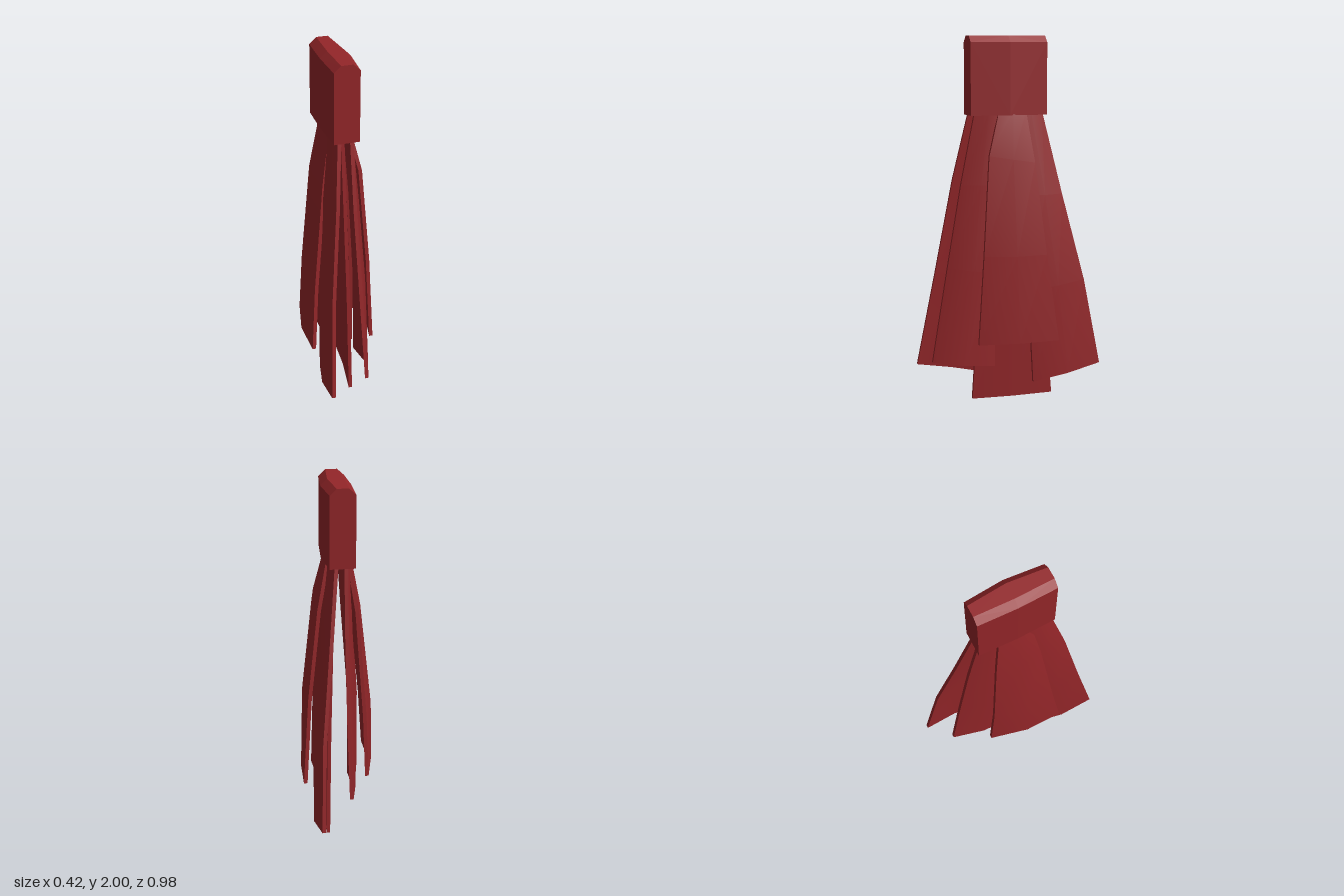
import * as THREE from 'three';
import { mergeGeometries } from 'three/addons/utils/BufferGeometryUtils.js';
import { ConvexGeometry } from 'three/addons/geometries/ConvexGeometry.js';

// Smooth sheet through a grid of points (rows of Vector3)
function sheet(rows) {
  const n = rows[0].length, index = [];
  for (let r = 0; r < rows.length - 1; r++) {
    for (let c = 0; c < n - 1; c++) {
      const a = r * n + c, b = a + n;
      index.push(a, b, a + 1, a + 1, b, b + 1);
    }
  }
  const g = new THREE.BufferGeometry().setFromPoints(rows.flat());
  g.setIndex(index);
  g.computeVertexNormals();
  return g;
}

// Bowed cloth panel. Each row: back edge [x, y, z], front edge [x, y, z], bow along x
function panel(rows, thickness = 0.02) {
  const side = (s) => rows.map(([b, f, bow]) => {
    const back = new THREE.Vector3(...b), front = new THREE.Vector3(...f);
    const mid = back.clone().lerp(front, 0.5);
    mid.x += bow;
    return [back, mid, front].map((p) => p.setX(p.x + s * thickness / 2));
  });
  const lo = side(-1), hi = side(1), end = rows.length - 1;
  return mergeGeometries([
    sheet(lo),
    sheet(hi.map((r) => [...r].reverse())),
    sheet(lo.map((r, i) => [hi[i][0], r[0]])),
    sheet(lo.map((r, i) => [r[2], hi[i][2]])),
    sheet([lo[end], hi[end]]),
    sheet([hi[0], lo[0]]),
  ]);
}

const PANELS = {
  leftPanel: [
    [[0.05, 1.6, -0.08], [0.045, 1.6, 0.07], 0.015],
    [[0.105, 1.32, -0.115], [0.095, 1.36, 0.14], 0.02],
    [[0.165, 0.82, -0.165], [0.13, 0.82, 0.18], 0.03],
    [[0.2, 0.345, -0.225], [0.145, 0.335, 0.215], 0.018],
  ],
  rightPanel: [
    [[-0.055, 1.6, -0.08], [-0.055, 1.6, 0.1], -0.015],
    [[-0.1, 1.3, -0.12], [-0.105, 1.3, 0.14], -0.025],
    [[-0.14, 0.7, -0.16], [-0.17, 0.7, 0.2], -0.04],
    [[-0.15, 0.345, -0.19], [-0.2, 0.34, 0.245], -0.027],
  ],
  backLeftPanel: [
    [[0.02, 1.6, -0.18], [0.04, 1.6, -0.04], 0.012],
    [[0.065, 1.14, -0.285], [0.095, 1.14, -0.06], 0.025],
    [[0.115, 0.66, -0.4], [0.12, 0.62, -0.075], 0.03],
    [[0.133, 0.18, -0.49], [0.13, 0.1, -0.1], 0.022],
  ],
  frontRightPanel: [
    [[-0.06, 1.6, 0.04], [-0.045, 1.6, 0.215], -0.012],
    [[-0.09, 1.22, 0.06], [-0.08, 1.22, 0.3], -0.025],
    [[-0.11, 0.65, 0.075], [-0.13, 0.7, 0.39], -0.03],
    [[-0.115, 0.105, 0.1], [-0.163, 0.17, 0.49], -0.022],
  ],
  frontLeftPanel: [
    [[0.035, 1.6, 0.05], [0.025, 1.6, 0.2], 0.012],
    [[0.06, 1.2, 0.08], [0.022, 1.2, 0.28], 0.025],
    [[0.08, 0.72, 0.1], [0.03, 0.75, 0.36], 0.035],
    [[0.085, 0.195, 0.11], [0.04, 0.23, 0.45], 0.035],
  ],
  backRightPanel: [
    [[-0.03, 1.6, -0.18], [-0.04, 1.6, -0.05], -0.01],
    [[-0.025, 1.2, -0.25], [-0.06, 1.2, -0.05], -0.018],
    [[-0.026, 0.75, -0.32], [-0.07, 0.75, -0.04], -0.022],
    [[-0.033, 0.315, -0.387], [-0.075, 0.28, -0.02], -0.02],
  ],
  centrePanel: [
    [[0.02, 1.6, -0.09], [0.01, 1.6, 0.09], 0.006],
    [[0.04, 1.15, -0.13], [0.015, 1.15, 0.13], 0.01],
    [[0.06, 0.6, -0.18], [0.02, 0.6, 0.18], 0.012],
    [[0.074, 0.015, -0.225], [0.023, 0, 0.22], 0.01],
  ],
};

// Chamfered clasp, slightly wider halfway along z
function claspGeometry() {
  const points = [];
  for (const [z, left, right, topLeft, topRight] of [
    [-0.2, -0.078, 0.06, -0.04, 0.023],
    [0.015, -0.086, 0.078, -0.047, 0.042],
    [0.23, -0.08, 0.06, -0.042, 0.023],
  ]) {
    for (const [x, y] of [[left, 1.575], [right, 1.575], [right, 1.965], [topRight, 2], [topLeft, 2], [left, 1.965]]) {
      points.push(new THREE.Vector3(x, y, z));
    }
  }
  return new ConvexGeometry(points);
}

export function createModel() {
  const model = new THREE.Group();
  const redCloth = new THREE.MeshStandardMaterial({ color: 0x942629 });
  redCloth.name = 'redCloth';
  const add = (name, geometry) => {
    const mesh = new THREE.Mesh(geometry, redCloth);
    mesh.name = name;
    model.add(mesh);
  };
  add('clasp', claspGeometry());
  for (const [name, rows] of Object.entries(PANELS)) add(name, panel(rows));
  return model;
}
